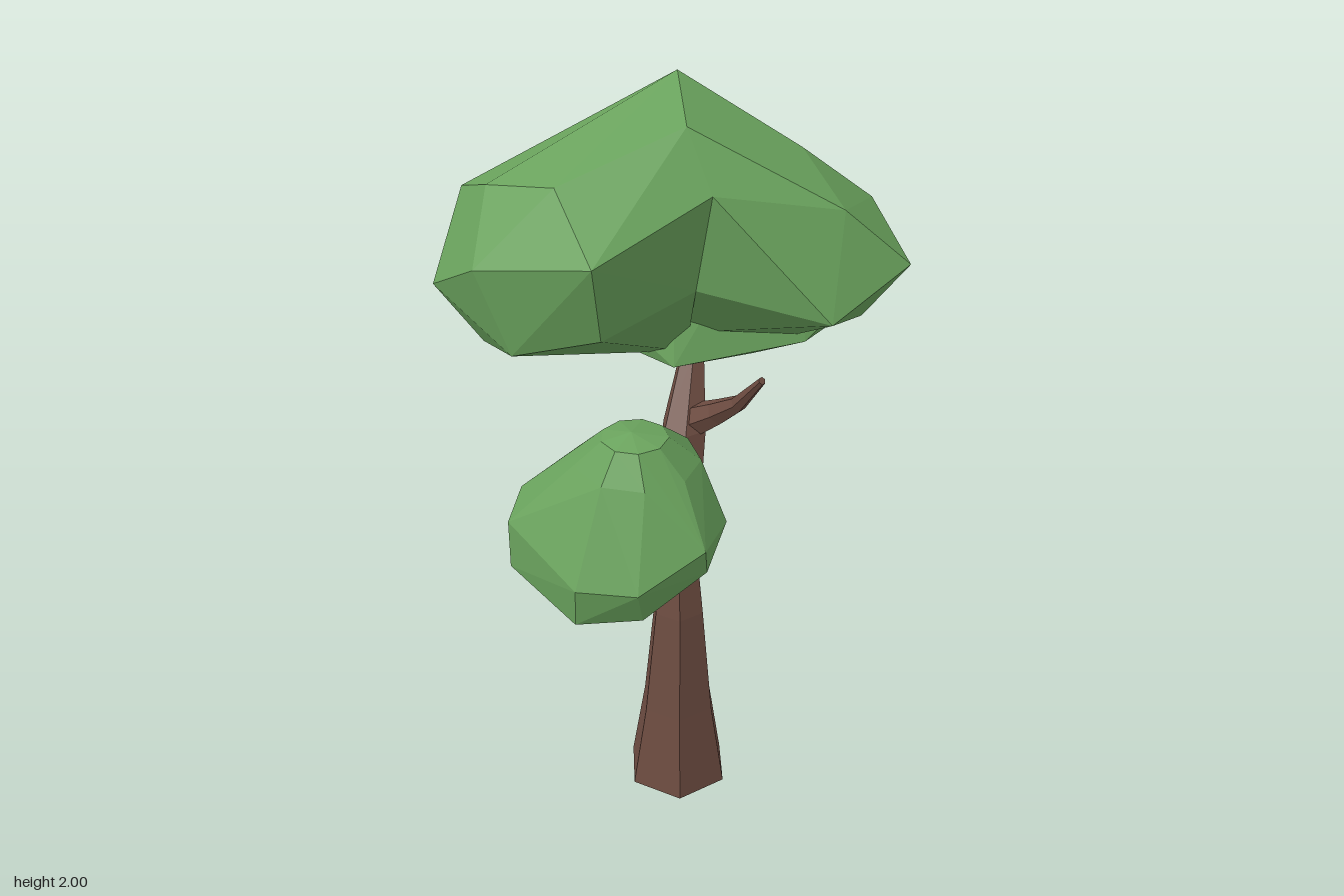
import * as THREE from 'three';
import { ConvexGeometry } from 'three/addons/geometries/ConvexGeometry.js';

const bark = new THREE.MeshStandardMaterial({ color: 0x6d4c41, flatShading: true, side: THREE.DoubleSide });
bark.name = 'bark brown';
const leaf = new THREE.MeshStandardMaterial({ color: 0x6aa35d, flatShading: true });
leaf.name = 'leaf green';

// Faceted limb, open at its root: rings of [x, y, z, radius], all facing along one axis
function limb(name, rings, axis, sides = 6) {
  const n = new THREE.Vector3(...axis).normalize();
  const u = new THREE.Vector3(1, 0, 0).cross(n).normalize();
  const v = n.clone().cross(u);
  const pos = [], index = [];
  for (const [x, y, z, r] of rings) {
    for (let j = 0; j < sides; j++) {
      const a = Math.PI / 12 + (j / sides) * Math.PI * 2;
      const p = new THREE.Vector3(x, y, z)
        .addScaledVector(u, r * Math.cos(a)).addScaledVector(v, r * Math.sin(a));
      pos.push(p.x, p.y, p.z);
    }
  }
  const last = (rings.length - 1) * sides;
  for (let i = 0; i < last; i += sides) {
    for (let j = 0; j < sides; j++) {
      const k = (j + 1) % sides;
      index.push(i + j, i + k, i + sides + k, i + j, i + sides + k, i + sides + j);
    }
  }
  for (let j = 1; j < sides - 1; j++) index.push(last, last + j, last + j + 1);
  const g = new THREE.BufferGeometry();
  g.setAttribute('position', new THREE.Float32BufferAttribute(pos, 3));
  g.setIndex(index);
  const flat = g.toNonIndexed();
  flat.computeVertexNormals();
  const mesh = new THREE.Mesh(flat, bark);
  mesh.name = name;
  return mesh;
}

// Faceted leaf clump around a few corner points
function clump(name, points) {
  const mesh = new THREE.Mesh(
    new ConvexGeometry(points.map((p) => new THREE.Vector3(...p))), leaf);
  mesh.name = name;
  return mesh;
}

export function createModel() {
  const tree = new THREE.Group();
  tree.name = 'tree';

  // Trunk and its two side branches
  tree.add(
    limb('trunk', [
      [0.033, 0, -0.02, 0.148], [0.034, 0.26, -0.015, 0.106], [0.033, 0.58, -0.025, 0.074],
      [0.023, 0.78, -0.045, 0.058], [0.022, 0.95, -0.07, 0.066], [0.025, 1.1, -0.12, 0.062],
      [0.025, 1.28, -0.22, 0.032],
    ], [0, 1, 0]),
    limb('frontBranch', [
      [0.02, 0.945, -0.04, 0.075], [0.01, 0.955, 0.04, 0.05],
      [0, 0.975, 0.15, 0.036], [0, 1.05, 0.24, 0.03],
    ], [0, 0.25, 1]),
    limb('sideBranch', [
      [0.03, 1.1, -0.14, 0.05], [0.12, 1.17, -0.09, 0.034],
      [0.18, 1.23, -0.04, 0.022], [0.25, 1.345, 0.035, 0.01],
    ], [1, 1, 0.8]),
  );

  // Large crown: three overlapping lobes
  const crown = new THREE.Group();
  crown.name = 'largeCrown';
  const apex = [-0.03, 2.0, -0.265], ridge = [0.04, 1.94, -0.05];
  const shoulder = [0.12, 1.81, 0.035], under = [0.08, 1.56, 0.02];
  const right = [0.45, 1.69, -0.34], upperRight = [0.28, 1.83, -0.27];
  const backRight = [0.25, 1.68, -0.48], backTop = [-0.1, 1.81, -0.43];
  const backLeft = [-0.27, 1.62, -0.51], upperLeft = [-0.21, 1.86, -0.34];
  crown.add(
    clump('leftLobe', [
      apex, ridge, shoulder, under, backTop, backLeft, upperLeft,
      [-0.1, 1.72, 0.295], [-0.22, 1.85, 0.16], [-0.41, 1.65, 0.21], [-0.1, 1.51, 0.23],
      [-0.33, 1.43, 0.2], [-0.46, 1.37, 0.03], [-0.57, 1.53, 0.06], [-0.56, 1.7, -0.16],
      [-0.41, 1.81, 0.08], [-0.57, 1.53, -0.14], [-0.41, 1.52, -0.29],
      [-0.25, 1.87, -0.12], [-0.2, 1.28, -0.22], [0, 1.25, -0.25],
    ]),
    clump('rightLobe', [
      apex, ridge, shoulder, under, right, upperRight, backRight,
      [0.41, 1.5, 0.01], [0.41, 1.74, -0.12], [0.57, 1.59, -0.18],
      [0.46, 1.44, -0.18], [0.3, 1.36, -0.2], [0, 1.33, -0.2],
    ]),
    clump('backLobe', [
      apex, right, upperRight, backRight, backTop, backLeft, upperLeft,
      [0.07, 1.81, -0.44], [-0.1, 1.48, -0.545], [0.03, 1.48, -0.55],
      [-0.41, 1.5, -0.29], [0.5, 1.44, -0.36], [0.49, 1.52, -0.31],
      [0.25, 1.38, -0.48], [0, 1.28, -0.525], [-0.22, 1.33, -0.45],
      [-0.03, 1.2, -0.33], [0.18, 1.27, -0.24], [-0.2, 1.27, -0.23], [0, 1.28, -0.1],
      [0.32, 1.34, -0.2],
    ]),
  );
  tree.add(crown);

  // Small crown: a rounded dome widening into an angular skirt
  const small = [[0, 1.352, 0.35]];
  for (const [y, z, r] of [[1.335, 0.34, 0.08], [1.26, 0.315, 0.15], [1.15, 0.305, 0.17]]) {
    for (let i = 0; i < 9; i++) {
      const a = (i / 9) * Math.PI * 2;
      small.push([0.005 + r * Math.sin(a), y, z - r * Math.cos(a)]);
    }
  }
  small.push(
    [-0.3, 1.11, 0.27], [-0.3, 1.08, 0.385], [-0.3, 0.95, 0.385], [-0.29, 1, 0.28],
    [-0.22, 1.165, 0.32], [-0.09, 1.02, 0.545], [0.06, 1.03, 0.545], [-0.1, 0.905, 0.52],
    [0.06, 0.93, 0.5], [0.2, 1.12, 0.46], [0.2, 1.05, 0.44], [0.22, 1.11, 0.31],
    [0.15, 1.01, 0.28], [0, 0.96, 0.26], [0.09, 1.13, 0.16], [0, 1.05, 0.155],
    [-0.1, 1.1, 0.18],
  );
  tree.add(clump('smallCrown', small));
  return tree;
}
